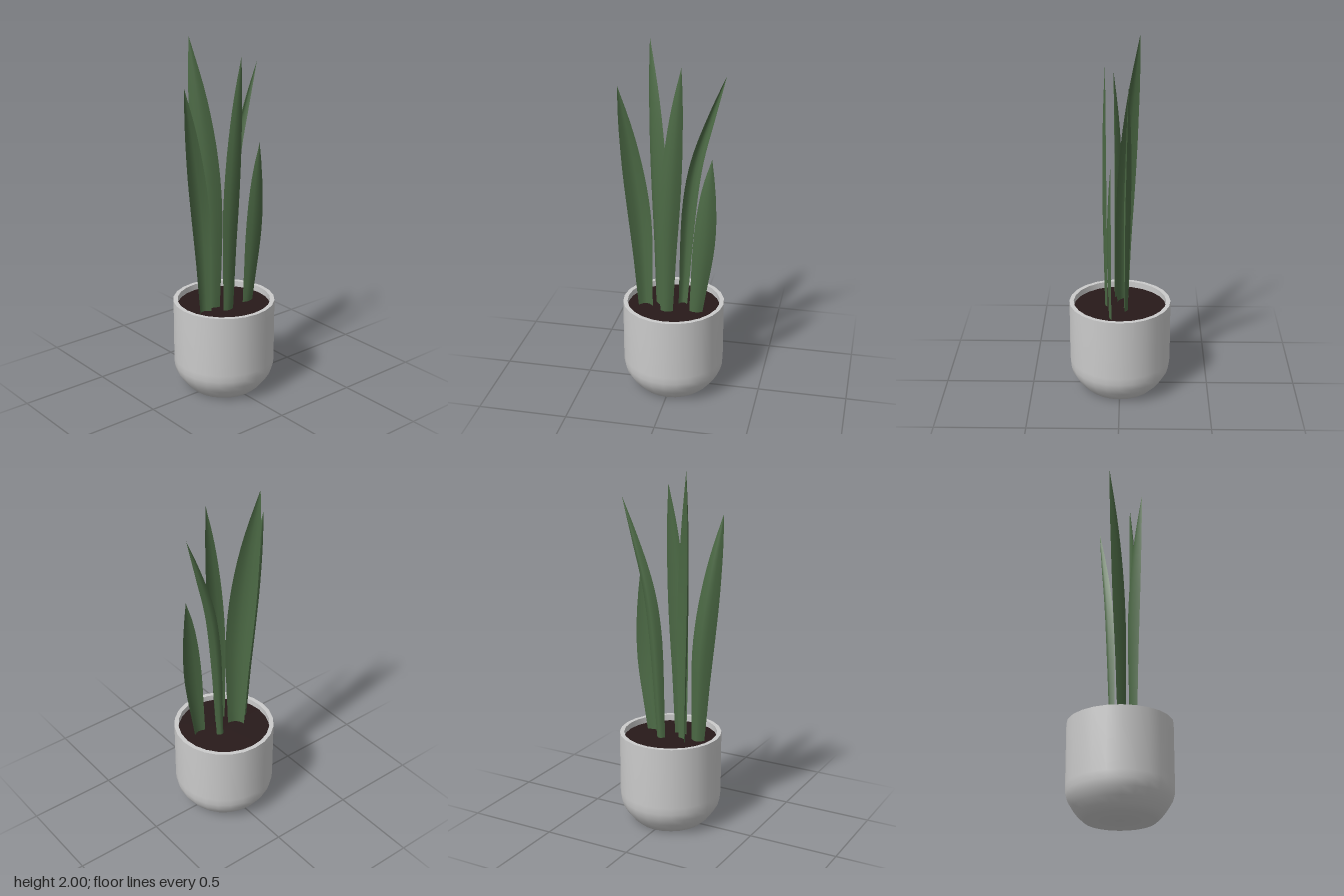
import * as THREE from 'three';
import { toCreasedNormals } from 'three/addons/utils/BufferGeometryUtils.js';

const SOIL_Y = 0.49;

// Share of full leaf width from soil (x = 0) to tip (x = 1), the same for every leaf
const TAPER = new THREE.SplineCurve([
  [0, 0.63], [0.2, 0.82], [0.4, 1], [0.57, 0.98], [0.73, 0.78], [0.87, 0.45], [1, 0],
].map(([t, w]) => new THREE.Vector2(t, w)));

// Spine points, full width, turn about y, and cup depth as a share of width
const LEAVES = [
  { name: 'leftLeaf', width: 0.127, yaw: 0.04, cup: -0.33,
    spine: [[-0.15, SOIL_Y, 0.033], [-0.177, 1, 0.032], [-0.228, 1.4, 0.034], [-0.29, 1.77, 0.04]] },
  { name: 'tallLeaf', width: 0.146, yaw: -0.73, cup: 0.2,
    spine: [[-0.072, SOIL_Y, -0.015], [-0.076, 1, -0.025], [-0.102, 1.5, -0.055], [-0.145, 2, -0.105]] },
  { name: 'frontLeaf', width: 0.112, yaw: 0.03, cup: 0.19,
    spine: [[-0.022, SOIL_Y, 0.071], [-0.01, 1, 0.073], [0.026, 1.55, 0.075], [0.06, 1.9, 0.076]] },
  { name: 'rightLeaf', width: 0.077, yaw: 0.1, cup: -0.42,
    spine: [[0.052, SOIL_Y, -0.024], [0.087, 1.1, -0.027], [0.125, 1.35, -0.033],
      [0.198, 1.6, -0.04], [0.275, 1.83, -0.047]] },
  { name: 'shortLeaf', width: 0.118, yaw: 0.04, cup: 0.17,
    spine: [[0.14, SOIL_Y, 0.046], [0.181, 0.9, 0.047], [0.205, 1.25, 0.046], [0.22, 1.4, 0.045]] },
];

// Cupped sheet that follows its spine and tapers to a point
function leafGeometry({ spine, width, yaw, cup }) {
  const curve = new THREE.CatmullRomCurve3(spine.map((p) => new THREE.Vector3(...p)));
  const tipY = spine.at(-1)[1];
  const across = new THREE.Vector3(Math.cos(yaw), 0, -Math.sin(yaw));
  const outward = new THREE.Vector3(Math.sin(yaw), 0, Math.cos(yaw));
  const columns = 4, rows = 18;
  const geometry = new THREE.PlaneGeometry(1, 1, columns, rows);
  const position = geometry.attributes.position;
  for (let j = 0; j <= rows; j++) {
    const center = curve.getPoint(1 - j / rows);
    const height = (center.y - SOIL_Y) / (tipY - SOIL_Y);
    // The taper points are unevenly spaced, so step to the matching height
    let s = 0;
    while (s < 1 && TAPER.getPoint(s).x < height) s += 0.005;
    const w = width * TAPER.getPoint(Math.min(s, 1)).y;
    for (let i = 0; i <= columns; i++) {
      const u = i / columns;
      const p = center.clone()
        .addScaledVector(across, (u - 0.5) * w)
        .addScaledVector(outward, 4 * u * (1 - u) * cup * w);
      position.setXYZ(j * (columns + 1) + i, p.x, p.y, p.z);
    }
  }
  geometry.computeVertexNormals();
  return geometry;
}

export function createModel() {
  const group = new THREE.Group();
  const add = (name, geometry, material) => {
    const mesh = new THREE.Mesh(geometry, material);
    mesh.name = name;
    group.add(mesh);
    return mesh;
  };

  // Pot with a rounded foot and a thin flat rim
  const profile = [
    [0, 0], [0.19, 0], [0.222, 0.03], [0.248, 0.063], [0.272, 0.103], [0.282, 0.14],
    [0.284, 0.18], [0.284, 0.525], [0.26, 0.525], [0.26, SOIL_Y - 0.03],
  ].map(([r, y]) => new THREE.Vector2(r, y));
  const pot = add('pot', toCreasedNormals(new THREE.LatheGeometry(profile, 24), 1),
    new THREE.MeshStandardMaterial({ color: 0xcccccc }));
  pot.position.x = 0.004;

  // Soil disc
  const soil = add('soil', new THREE.CircleGeometry(0.26, 24).rotateX(-Math.PI / 2),
    new THREE.MeshStandardMaterial({ color: 0x281a1a }));
  soil.position.set(0.004, SOIL_Y, 0);

  // Leaves
  const green = new THREE.MeshStandardMaterial({ color: 0x4c6a45, side: THREE.DoubleSide });
  for (const leaf of LEAVES) add(leaf.name, leafGeometry(leaf), green);

  return group;
}
